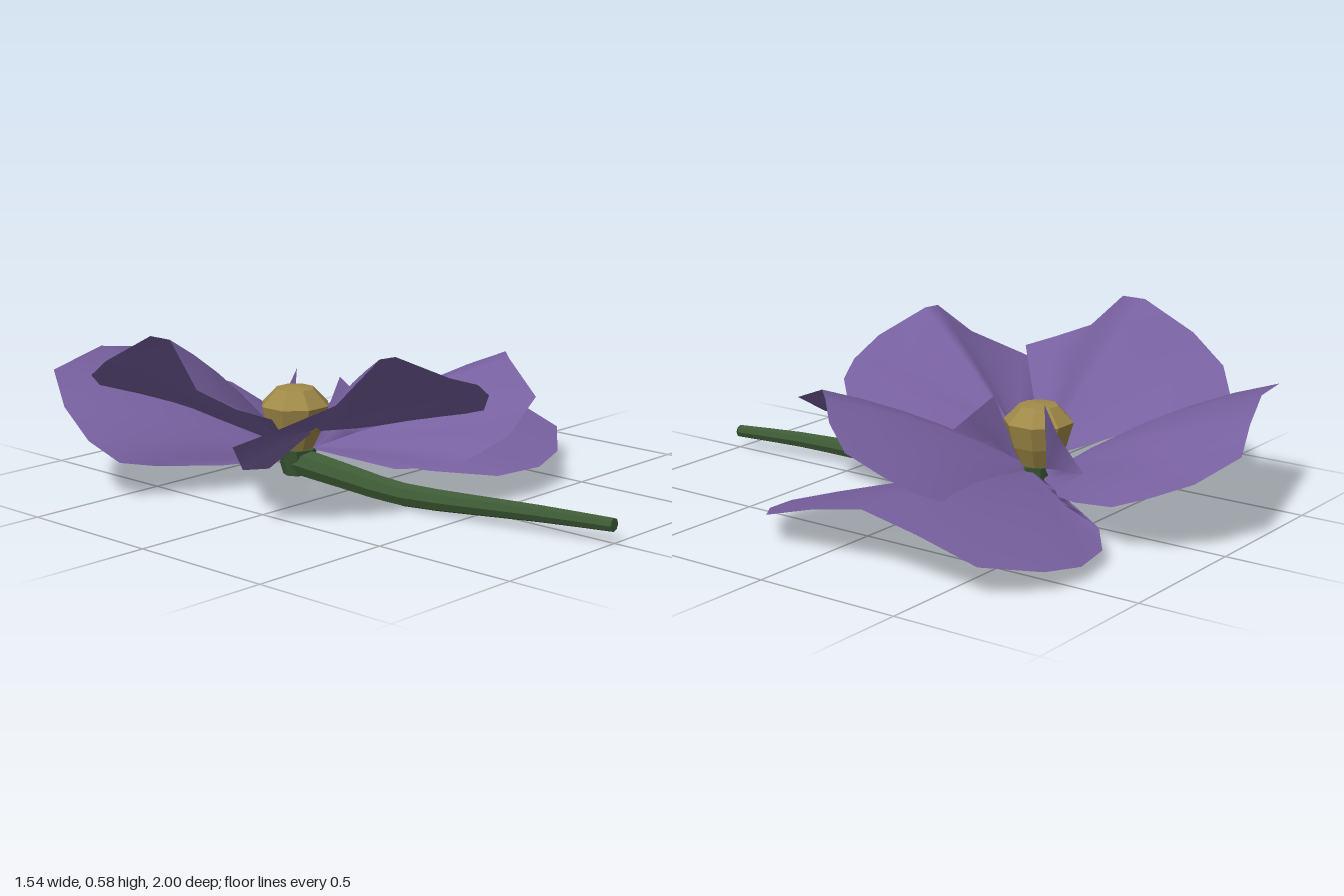
import * as THREE from 'three';

const mat = (color, flatShading) => new THREE.MeshStandardMaterial({ color, flatShading, side: THREE.DoubleSide });
const V = (p) => new THREE.Vector3(...p);

// Petal: a fan of rings from a base point out to a rim, with an upward bulge
function petal(name, base, rim, bulge, material, rings = 5) {
  const b = V(base), pos = [], index = [], n = rim.length;
  for (let r = 0; r <= rings; r++) {
    const s = 0.04 + 0.96 * r / rings;
    rim.forEach((q, i) => {
      const p = b.clone().lerp(V(q), s);
      p.y += bulge * 4 * s * (1 - s) * Math.sin(Math.PI * i / (n - 1));
      pos.push(p.x, p.y, p.z);
    });
  }
  for (let r = 0; r < rings; r++) for (let i = 0; i < n - 1; i++) {
    const a = r * n + i, c = a + n;
    index.push(a, a + 1, c, a + 1, c + 1, c);
  }
  const g = new THREE.BufferGeometry();
  g.setAttribute('position', new THREE.Float32BufferAttribute(pos, 3));
  g.setIndex(index);
  g.computeVertexNormals();
  const m = new THREE.Mesh(g, material);
  m.name = name;
  return m;
}

export function createModel() {
  const group = new THREE.Group();
  const purple = mat(0x77609f, false), gold = mat(0xa08a48, true), green = mat(0x3d5a35, true);
  const add = (name, geometry, material) => {
    const m = new THREE.Mesh(geometry, material);
    m.name = name;
    group.add(m);
    return m;
  };

  // Five overlapping petals, each rim running from edge to edge
  group.add(
    petal('backPetal', [-0.15, 0.08, -0.22], [
      [-0.4, 0.09, -0.3], [-0.6, 0.11, -0.4], [-0.7, 0.13, -0.45], [-0.76, 0.2, -0.53], [-0.75, 0.29, -0.66],
      [-0.67, 0.38, -0.81], [-0.4, 0.41, -0.89], [-0.2, 0.37, -0.96], [-0.08, 0.3, -1], [0.08, 0.24, -0.93],
      [0.16, 0.2, -0.83], [0.18, 0.15, -0.7], [0.13, 0.12, -0.53], [0.02, 0.09, -0.36]], 0.05, purple),
    petal('rightmostPetal', [-0.1, 0.11, -0.2], [
      [0.12, 0.1, -0.49], [0.17, 0.07, -0.65], [0.29, 0.05, -0.74], [0.45, 0.05, -0.77], [0.6, 0.07, -0.74],
      [0.75, 0.1, -0.61], [0.765, 0.16, -0.4], [0.77, 0.2, -0.2], [0.765, 0.16, 0], [0.75, 0.1, 0.2],
      [0.6, 0.06, 0.32], [0.45, 0.04, 0.36], [0.29, 0.03, 0.31], [0.13, 0.05, 0.15]], 0.03, purple),
    petal('frontRightPetal', [-0.12, 0.12, -0.18], [
      [0.3, 0.1, -0.36], [0.48, 0.16, -0.33], [0.58, 0.21, -0.25], [0.63, 0.26, -0.17], [0.63, 0.31, -0.02],
      [0.56, 0.37, 0.1], [0.47, 0.41, 0.19], [0.38, 0.41, 0.28], [0.27, 0.33, 0.48], [0.1, 0.24, 0.51],
      [-0.03, 0.19, 0.48], [-0.06, 0.14, 0.39], [-0.1, 0.11, 0.2]], 0.03, purple),
    petal('leftPetal', [-0.18, 0.13, -0.2], [
      [-0.3, 0.21, -0.4], [-0.46, 0.3, -0.58], [-0.58, 0.33, -0.68], [-0.7, 0.4, -0.58], [-0.77, 0.48, -0.42],
      [-0.74, 0.58, -0.24], [-0.74, 0.58, -0.15], [-0.77, 0.45, 0], [-0.72, 0.4, 0.12],
      [-0.65, 0.37, 0.2]], 0.04, purple),
    petal('frontLeftPetal', [-0.15, 0.19, -0.12], [
      [-0.45, 0.14, -0.02], [-0.65, 0.19, 0.07], [-0.72, 0.28, 0.1], [-0.65, 0.34, 0.22], [-0.54, 0.42, 0.36],
      [-0.38, 0.54, 0.39], [-0.32, 0.54, 0.4], [-0.16, 0.46, 0.48], [0, 0.41, 0.46], [0.08, 0.36, 0.44],
      [0.14, 0.29, 0.37], [0.1, 0.24, 0.2], [0.03, 0.2, 0.03]], 0.02, purple));

  // Upturned folds on both sides of the rightmost petal's base
  for (const side of [-1, 1]) {
    const z = (d) => -0.2 + side * d;
    const rim = [[-0.04, 0.36, z(0.1)], [0, 0.28, z(0.18)], [0.02, 0.18, z(0.29)], [0.05, 0.12, z(0.2)]];
    group.add(petal('petalFold', [-0.12, 0.12, z(0.05)], side < 0 ? rim : rim.reverse(), 0, purple, 2));
  }

  // Eight-sided seed head
  const head = add('flowerCentre', new THREE.LatheGeometry([
    [0.001, 0.11], [0.055, 0.11], [0.095, 0.19], [0.118, 0.27], [0.065, 0.325], [0.001, 0.332],
  ].map(([x, y]) => new THREE.Vector2(x, y)), 8), gold);
  head.position.set(-0.145, 0, -0.205);
  head.rotation.y = Math.PI / 8;

  // Curved stem, thinning towards its free end
  const curve = new THREE.CatmullRomCurve3([
    [-0.145, 0.08, -0.23], [-0.14, 0.062, 0], [-0.125, 0.042, 0.25], [-0.095, 0.05, 0.5], [-0.055, 0.06, 0.75], [-0.005, 0.062, 1],
  ].map(V));
  const steps = 10, sides = 8;
  const stem = new THREE.TubeGeometry(curve, steps, 1, sides);
  const p = stem.attributes.position, v = new THREE.Vector3();
  for (let i = 0; i < p.count; i++) {
    const t = Math.floor(i / (sides + 1)) / steps, c = curve.getPointAt(t);
    v.fromBufferAttribute(p, i).sub(c).multiplyScalar(0.05 - 0.028 * t).add(c);
    p.setXYZ(i, v.x, v.y, v.z);
  }
  add('stem', stem, green);
  const cap = add('stemEnd', new THREE.CircleGeometry(0.022, sides), green);
  cap.position.set(-0.005, 0.062, 1);

  // Calyx cup under the petals
  const calyx = add('calyx', new THREE.CylinderGeometry(0.07, 0.045, 0.09, 8), green);
  calyx.position.set(-0.145, 0.078, -0.2);
  return group;
}
